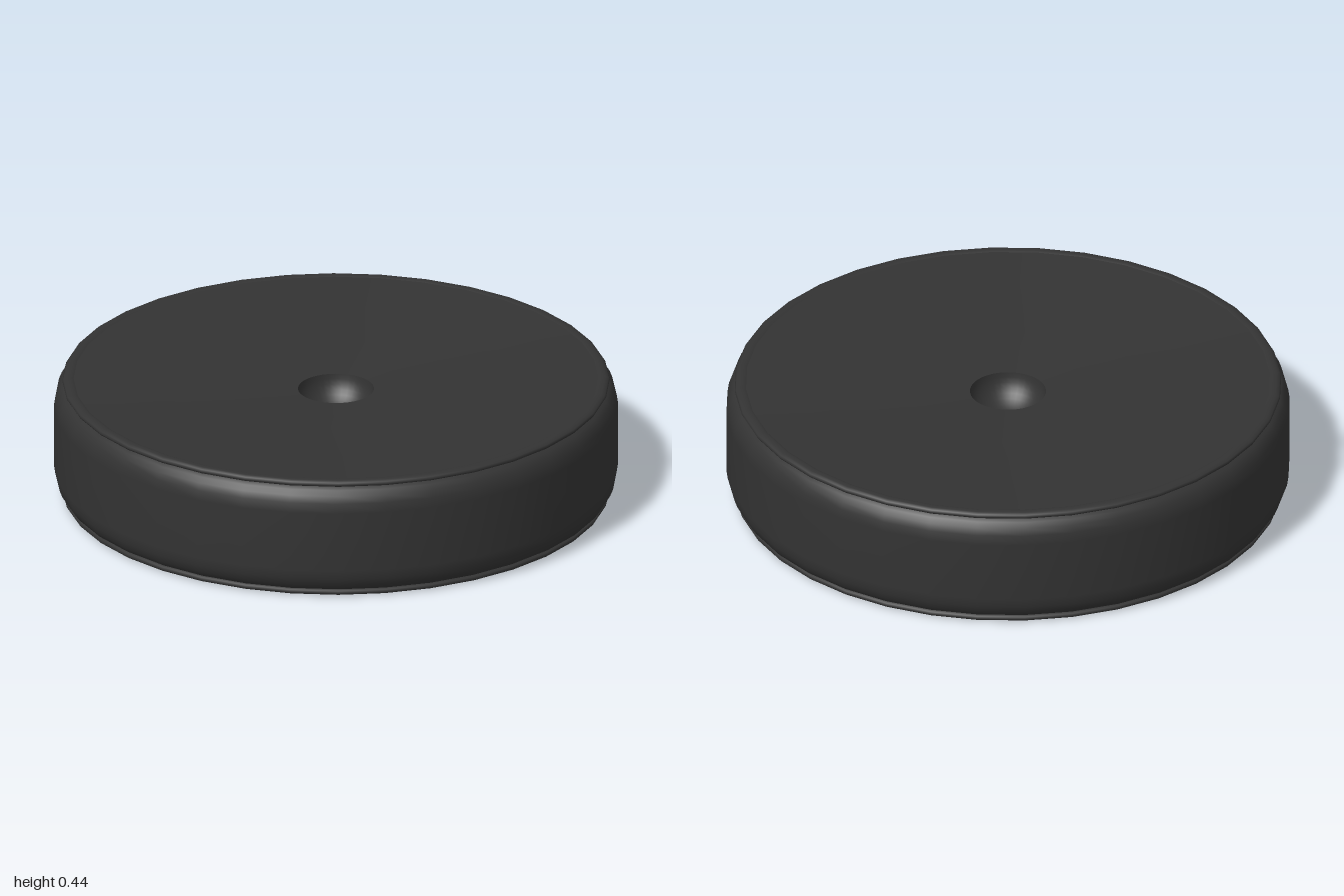
import * as THREE from 'three';

const SIDES = 36;
const HEIGHT = 0.44;

export function createModel() {
  const model = new THREE.Group();
  model.name = 'disc';
  const material = new THREE.MeshStandardMaterial({ color: 0x333333 });

  // Every part is a turned profile, listed from the underside outward, up and back in.
  const turn = (name, points) => {
    const profile = points.map(([r, y]) => new THREE.Vector2(r, y));
    const mesh = new THREE.Mesh(new THREE.LatheGeometry(profile, SIDES), material);
    mesh.name = name;
    model.add(mesh);
  };

  // Outer wall with rounded shoulders, mirrored top to bottom
  const shoulder = [[0.955, 0.022], [0.972, 0.032], [0.985, 0.05], [0.995, 0.075], [1, 0.11]];
  const mirrored = (points) => points.map(([r, y]) => [r, HEIGHT - y]).reverse();
  turn('sideWall', [...shoulder, ...mirrored(shoulder)]);

  // Thin lips around both faces
  const lip = [[0.93, 0.004], [0.94, 0], [0.955, 0.001], [0.966, 0.006], [0.97, 0.013], [0.966, 0.02], [0.955, 0.024]];
  turn('bottomLip', lip);
  turn('topLip', mirrored(lip));

  // Flat underside
  turn('underside', [[0, 0.004], [0.93, 0.004]]);

  // Gently dished top
  const holeRadius = 0.135;
  const holeY = 0.395;
  turn('dishedTop', [[0.93, HEIGHT - 0.004], [0.65, 0.421], [0.4, 0.408], [holeRadius, holeY]]);

  // Round hollow in the centre
  const hollow = [];
  for (let i = 0; i <= 10; i++) {
    const a = (i / 10) * Math.PI / 2;
    hollow.push([holeRadius * Math.cos(a), holeY - 0.12 * Math.sin(a)]);
  }
  turn('centreHollow', hollow);

  return model;
}
